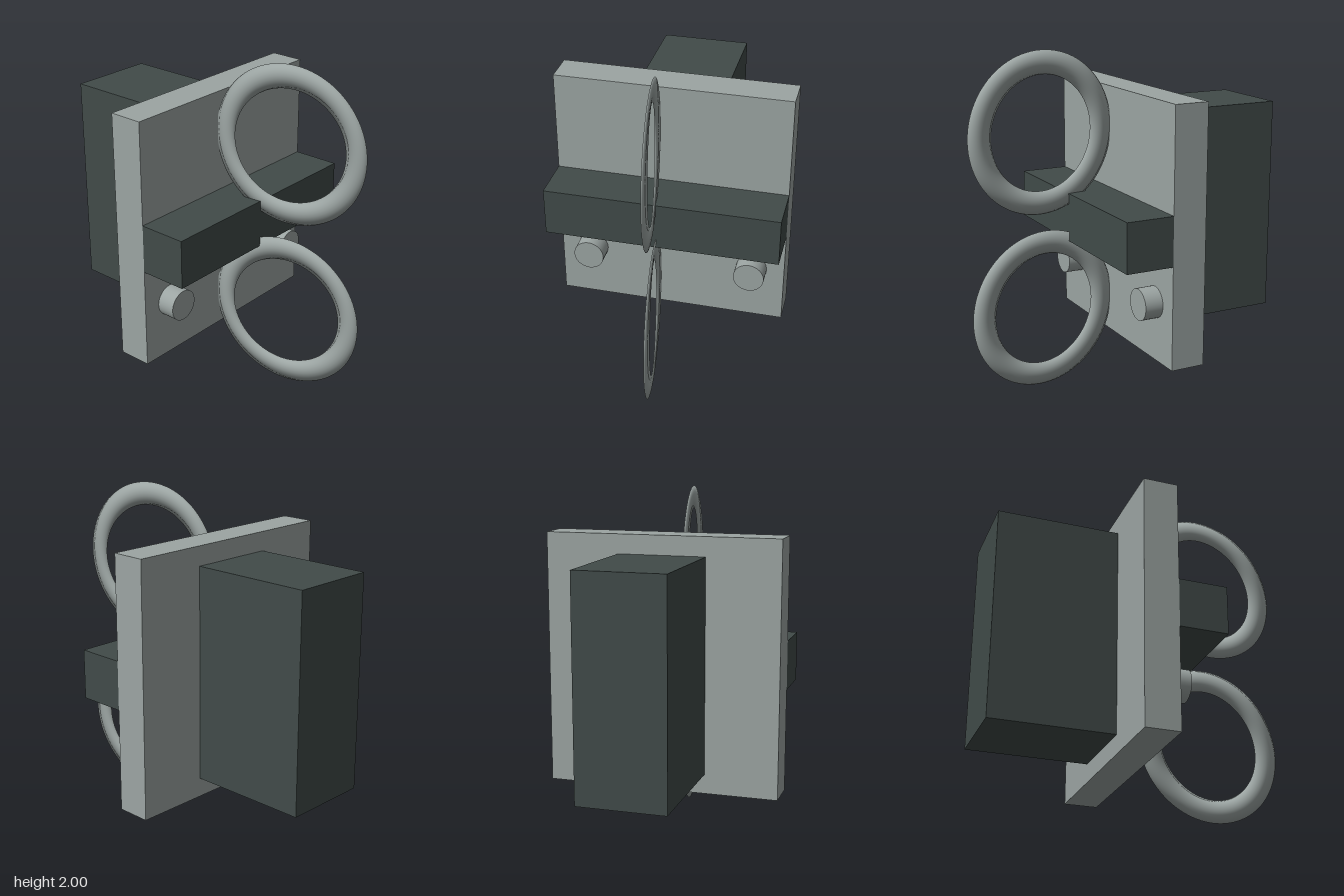
import * as THREE from 'three';

export function createModel() {
  const model = new THREE.Group();
  const paleGrey = new THREE.MeshStandardMaterial({ color: 0x9ca5a3 });
  paleGrey.name = 'pale grey';
  const darkGrey = new THREE.MeshStandardMaterial({ color: 0x414b49 });
  darkGrey.name = 'dark grey';

  const add = (name, geometry, material, x, y, z) => {
    const mesh = new THREE.Mesh(geometry, material);
    mesh.name = name;
    mesh.position.set(x, y, z);
    model.add(mesh);
  };

  // Upright plate with a deep housing behind and a crossbar in front
  add('plate', new THREE.BoxGeometry(1.4, 1.51, 0.205), paleGrey, 0, 1.005, -0.1025);
  add('housing', new THREE.BoxGeometry(0.524, 1.28, 0.73), darkGrey, 0, 1.005, -0.57);
  add('crossbar', new THREE.BoxGeometry(1.4, 0.29, 0.288), darkGrey, 0, 1.005, 0.144);

  // Two round studs
  for (const side of [1, -1]) {
    const stud = new THREE.CylinderGeometry(0.093, 0.093, 0.11, 32);
    stud.rotateX(Math.PI / 2);
    add(side > 0 ? 'leftStud' : 'rightStud', stud, paleGrey, side * 0.5, 0.6, 0.055);
  }

  // Thin twisted rings: rounded shading, with the band leaning sideways around the loop
  const ring = new THREE.TorusGeometry(0.404, 0.069, 24, 96);
  ring.rotateY(Math.PI / 2);
  const p = ring.attributes.position, n = ring.attributes.normal;
  for (let i = 0; i < p.count; i++) {
    const lean = p.getZ(i) / Math.hypot(p.getY(i), p.getZ(i));
    p.setX(i, 0.067 * lean + 0.002 * n.getX(i));
  }
  add('upperRing', ring, paleGrey, 0, 1.527, 0.463);
  add('lowerRing', ring, paleGrey, 0, 0.478, 0.463);

  return model;
}
